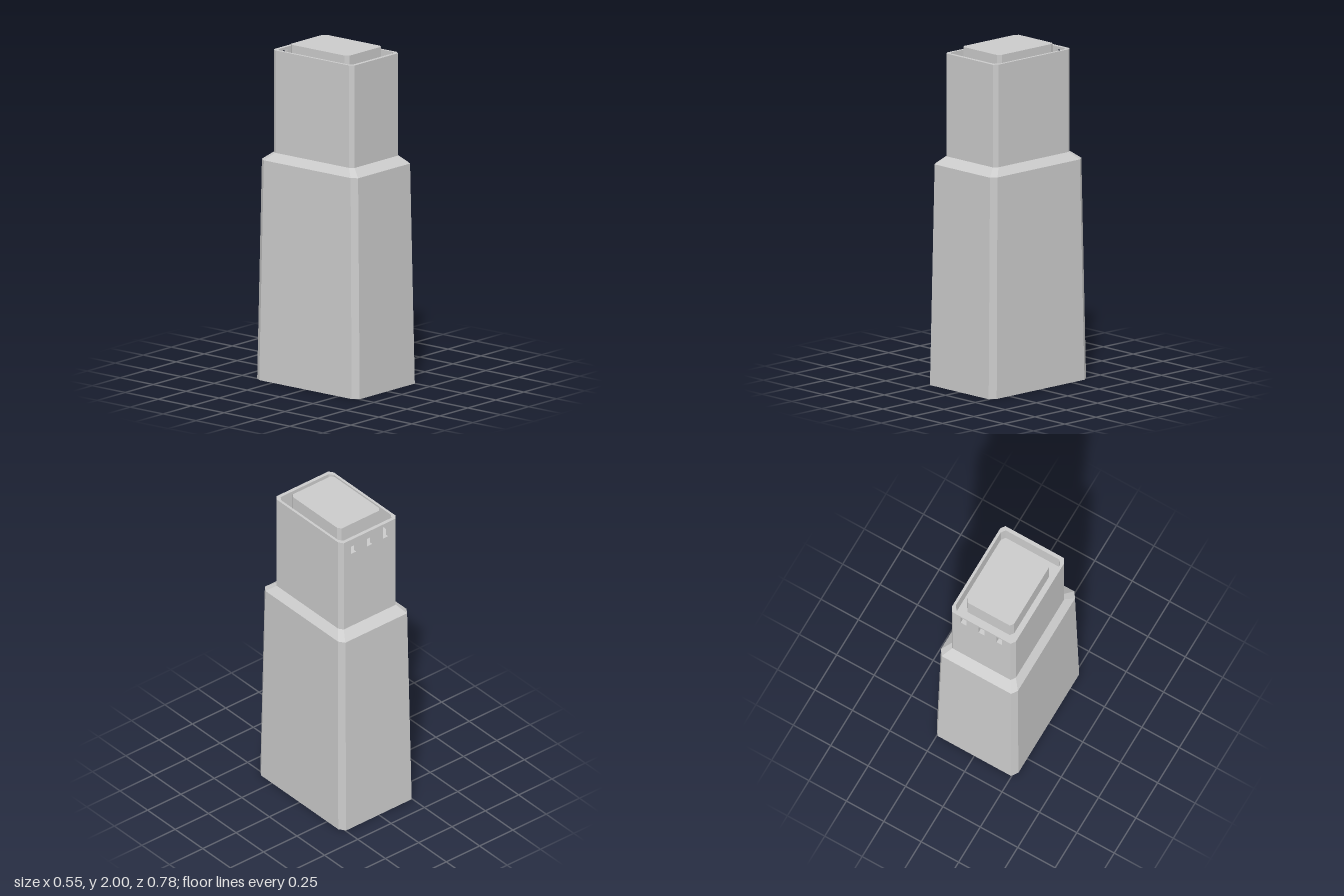
import * as THREE from 'three';

const material = new THREE.MeshStandardMaterial({ color: 0xcccccc, flatShading: true, side: THREE.DoubleSide });
const BACK = 6; // index of the back side in each ring

// Eight-sided ring: a rectangle with cut corners, as half sizes X, Z
function ring(X, y, Z, cut) {
  const cx = X - cut, cz = Z - cut * 1.43;
  return [[X, -cz], [X, cz], [cx, Z], [-cx, Z], [-X, cz], [-X, -cz], [-cx, -Z], [cx, -Z]]
    .map(([x, z]) => new THREE.Vector3(x, y, z));
}

// Joins successive rings with flat quads; can leave out the back side and cap the last ring
function loft(name, rings, { skipBack = false, cap = false } = {}) {
  const points = [];
  for (let r = 0; r + 1 < rings.length; r++) {
    for (let i = 0; i < 8; i++) {
      if (skipBack && i === BACK) continue;
      const j = (i + 1) % 8;
      const a = rings[r][i], b = rings[r][j], c = rings[r + 1][j], d = rings[r + 1][i];
      points.push(a, d, b, b, d, c);
    }
  }
  if (cap) {
    const last = rings[rings.length - 1];
    const centre = new THREE.Vector3(0, last[0].y, 0);
    for (let i = 0; i < 8; i++) points.push(centre, last[(i + 1) % 8], last[i]);
  }
  const geometry = new THREE.BufferGeometry().setFromPoints(points);
  geometry.computeVertexNormals();
  const mesh = new THREE.Mesh(geometry, material);
  mesh.name = name;
  return mesh;
}

function rectangle(path, x0, y0, x1, y1) {
  path.moveTo(x0, y0);
  path.lineTo(x1, y0);
  path.lineTo(x1, y1);
  path.lineTo(x0, y1);
  path.closePath();
  return path;
}

export function createModel() {
  const group = new THREE.Group();
  group.name = 'tower';

  const roofY = 1.84, rimY = 1.965;
  const outer = (y) => ring(0.214, y, 0.306, 0.019);
  const inner = (y) => ring(0.198, y, 0.284, 0.018);

  // Tapered lower body, open underneath, with its sloping shoulder
  group.add(loft('lowerBody', [ring(0.273, 0, 0.389, 0.027), ring(0.257, 1.31, 0.365, 0.025)]));
  group.add(loft('shoulder', [ring(0.257, 1.31, 0.365, 0.025), outer(1.355)]));

  // Straight upper body up to roof level
  group.add(loft('upperBody', [outer(1.355), outer(roofY)]));

  // Parapet around the sunken roof; its back wall is a separate slotted panel
  group.add(loft('parapet', [outer(roofY), outer(rimY), inner(rimY), inner(roofY)], { skipBack: true }));
  group.add(loft('roofFloor', [inner(roofY)], { cap: true }));

  const panel = rectangle(new THREE.Shape(), -0.195, roofY, 0.195, rimY);
  for (const x of [-0.12, 0, 0.12]) {
    panel.holes.push(rectangle(new THREE.Path(), x - 0.019, 1.865, x + 0.019, 1.95));
  }
  const backWall = new THREE.Mesh(
    new THREE.ExtrudeGeometry(panel, { depth: 0.022, bevelEnabled: false }), material);
  backWall.name = 'slottedBackParapet';
  backWall.position.z = -0.306;
  group.add(backWall);

  // Roof block rising just above the parapet
  group.add(loft('roofBlock', [ring(0.157, roofY, 0.222, 0.016), ring(0.157, 2, 0.222, 0.016)], { cap: true }));

  return group;
}
